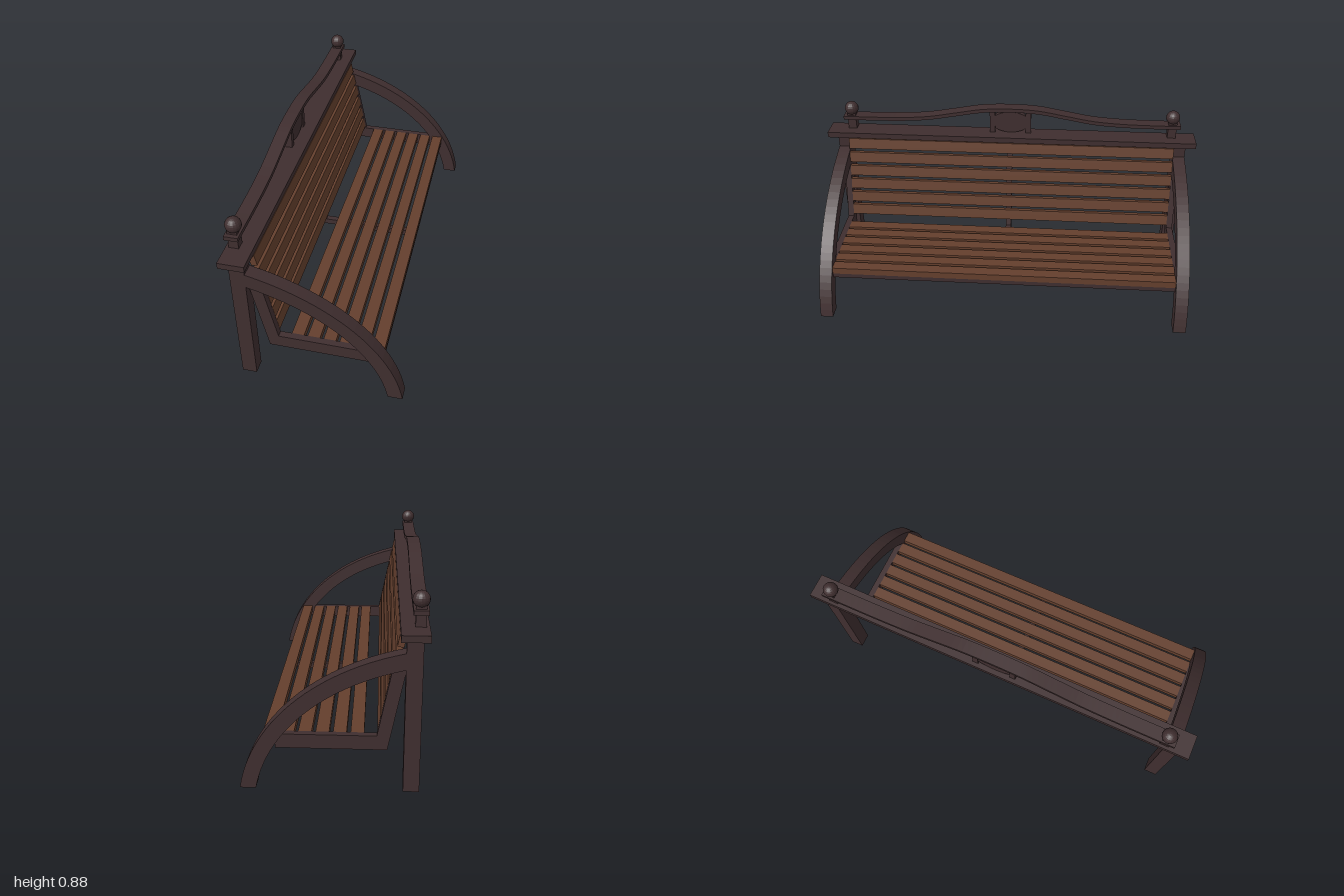
import * as THREE from 'three';

export function createModel() {
  const bench = new THREE.Group();
  bench.name = 'gardenBench';
  const frameWood = new THREE.MeshStandardMaterial({ color: 0x3f2e2f });
  frameWood.name = 'darkFrameWood';
  const slatWood = new THREE.MeshStandardMaterial({ color: 0x643f2d });
  slatWood.name = 'brownSlatWood';

  const add = (name, geometry, material, x = 0, y = 0, z = 0) => {
    const mesh = new THREE.Mesh(geometry, material);
    mesh.name = name;
    mesh.position.set(x, y, z);
    bench.add(mesh);
    return mesh;
  };
  // Box given by its limits on each axis
  const box = (name, material, [x0, x1], [y0, y1], [z0, z1]) =>
    add(name, new THREE.BoxGeometry(x1 - x0, y1 - y0, z1 - z0), material,
      (x0 + x1) / 2, (y0 + y1) / 2, (z0 + z1) / 2);
  // Extrusion centred on its own thickness
  const slab = (shape, depth) =>
    new THREE.ExtrudeGeometry(shape, { depth, bevelEnabled: false, curveSegments: 24 })
      .translate(0, 0, -depth / 2);
  const polygon = (points) => new THREE.Shape(points.map(([x, y]) => new THREE.Vector2(x, y)));

  // Curved arm that sweeps down to become the front leg
  const arm = new THREE.Shape();
  arm.moveTo(-0.306, 0.562);
  arm.bezierCurveTo(0.05, 0.48, 0.28, 0.26, 0.33, 0);
  arm.lineTo(0.4, 0);
  arm.bezierCurveTo(0.35, 0.3, 0.08, 0.55, -0.306, 0.635);
  const armGeometry = slab(arm, 0.065);

  // L-shaped side frame
  const endFrameGeometry = slab(polygon([
    [-0.235, 0.18], [0.245, 0.18], [0.245, 0.245], [-0.19, 0.245], [-0.263, 0.61], [-0.321, 0.61],
  ]), 0.032);

  // Faceted finial ball
  const ballGeometry = new THREE.SphereGeometry(0.037, 16, 12).toNonIndexed();
  ballGeometry.computeVertexNormals();

  for (const s of [1, -1]) {
    const side = s > 0 ? 'left' : 'right';
    const span = (a, b) => (s > 0 ? [a, b] : [-b, -a]);
    box(side + 'BackPost', frameWood, [-0.375, -0.305], [0, 0.7], span(0.885, 0.95));
    add(side + 'Arm', armGeometry, frameWood, 0, 0, s * 0.9175);
    add(side + 'EndFrame', endFrameGeometry, frameWood, 0, 0, s * 0.901);
    box(side + 'FinialPost', frameWood, [-0.385, -0.34], [0.73, 0.82], span(0.85, 0.895));
    add(side + 'FinialBall', ballGeometry, frameWood, -0.362, 0.843, s * 0.872);
    box(side + 'CrestUpright', frameWood, [-0.38, -0.345], [0.73, 0.862], span(0.083, 0.112));
  }

  // Centre support beneath the seat and behind the back
  add('centreFrame', slab(polygon([
    [-0.235, 0.18], [0.245, 0.18], [0.245, 0.21], [-0.208, 0.21], [-0.306, 0.7], [-0.339, 0.7],
  ]), 0.03), frameWood);
  box('frontRail', frameWood, [0.268, 0.298], [0.185, 0.21], [-0.885, 0.885]);
  box('topRail', frameWood, [-0.4, -0.28], [0.7, 0.73], [-1, 1]);

  // Seat slats
  for (let i = 0; i < 6; i++) {
    const x = -0.136 + i * 0.0755;
    box('seatSlat', slatWood, [x, x + 0.058], [0.21, 0.245], [-0.885, 0.885]);
  }

  // Reclined back slats
  for (let i = 0; i < 6; i++) {
    const y = 0.285 + i * 0.0762;
    add('backSlat', new THREE.BoxGeometry(0.029, 0.057, 1.77), slatWood, -0.235 - 0.2 * (y - 0.4), y, 0)
      .rotation.z = Math.atan(0.2);
  }

  // Wavy crest rail, drawn along the bench and turned into place
  const half = [[0.915, 0.796], [0.75, 0.796], [0.6, 0.799], [0.45, 0.81], [0.3, 0.836], [0.15, 0.862]];
  const wave = new THREE.CatmullRomCurve3([
    ...half.map(([z, y]) => new THREE.Vector3(-z, y, 0)),
    new THREE.Vector3(0, 0.869, 0),
    ...half.slice().reverse().map(([z, y]) => new THREE.Vector3(z, y, 0)),
  ]).getPoints(60);
  const crest = polygon([
    ...wave.map((p) => [p.x, p.y - 0.01]),
    ...wave.slice().reverse().map((p) => [p.x, p.y + 0.01]),
  ]);
  add('crestRail', slab(crest, 0.065).rotateY(-Math.PI / 2), frameWood, -0.3625, 0, 0);

  // Oval panel between the crest uprights
  const oval = new THREE.Shape();
  oval.absellipse(0, 0, 0.105, 0.06, 0, Math.PI * 2);
  add('crestPanel', slab(oval, 0.025).rotateY(-Math.PI / 2), frameWood, -0.3625, 0.791, 0);

  return bench;
}
